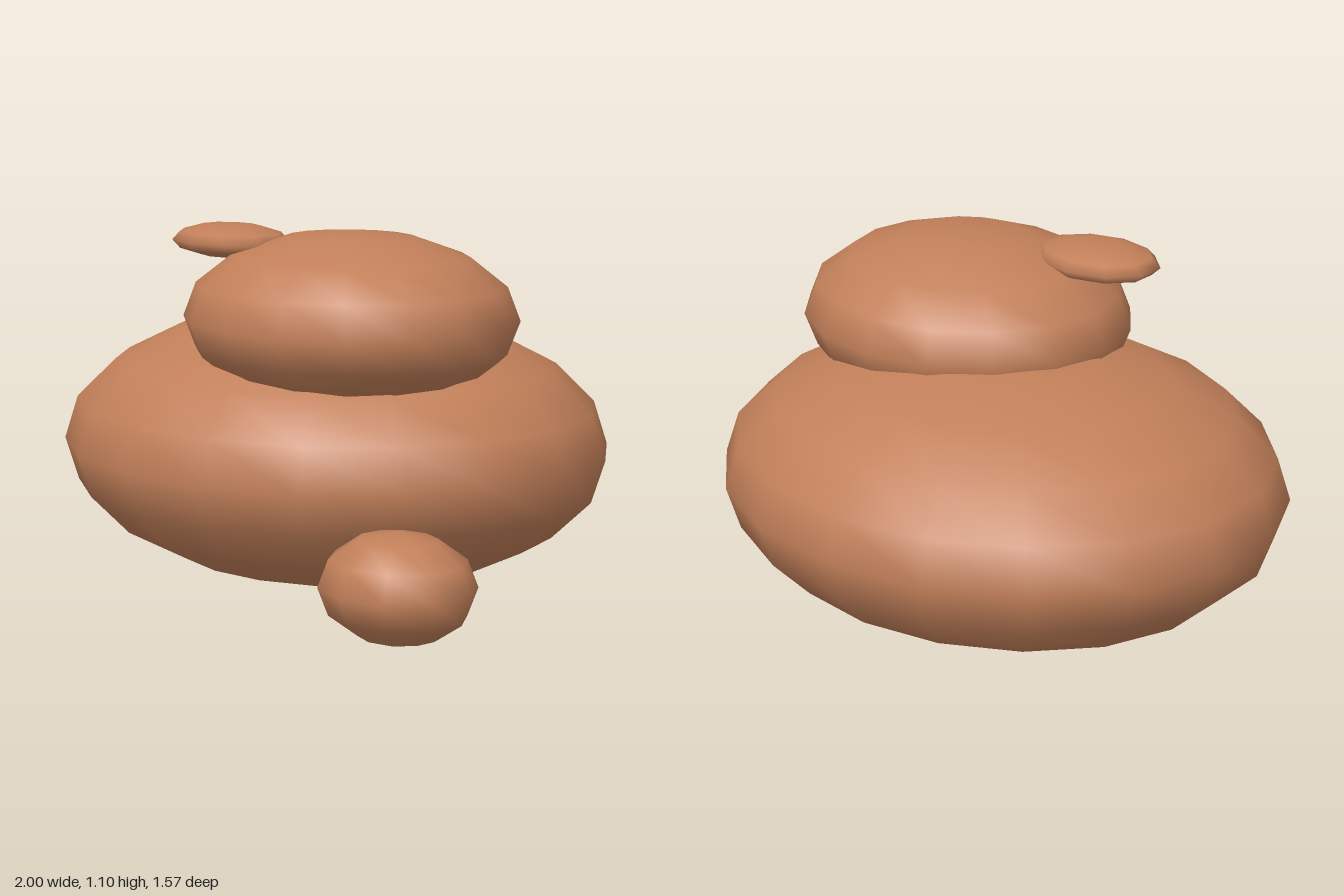
import * as THREE from 'three';

export function createModel() {
  const group = new THREE.Group();
  const clay = new THREE.MeshStandardMaterial({ color: 0xc17f59 });
  clay.name = 'terracotta clay';

  // Smooth low-poly ellipsoid with a column of vertices on the z axis
  function ellipsoid(name, center, radii, segments, rings) {
    const geometry = new THREE.SphereGeometry(1, segments, rings);
    geometry.rotateY(Math.PI / 2);
    geometry.scale(...radii);
    const mesh = new THREE.Mesh(geometry, clay);
    mesh.name = name;
    mesh.position.set(...center);
    group.add(mesh);
  }

  // Large base stone with a second stone stacked on it
  ellipsoid('body', [-0.12, 0.425, 0], [0.893, 0.42, 0.787], 18, 10);
  ellipsoid('upperBody', [0.142, 0.845, 0.155], [0.523, 0.26, 0.472], 16, 8);

  // Small pebble beside the base and a thin flake on top
  ellipsoid('sidePebble', [0.775, 0.214, 0.522], [0.236, 0.155, 0.207], 10, 6);
  ellipsoid('topFlake', [-0.23, 1.055, 0.31], [0.208, 0.051, 0.155], 10, 6);

  return group;
}
